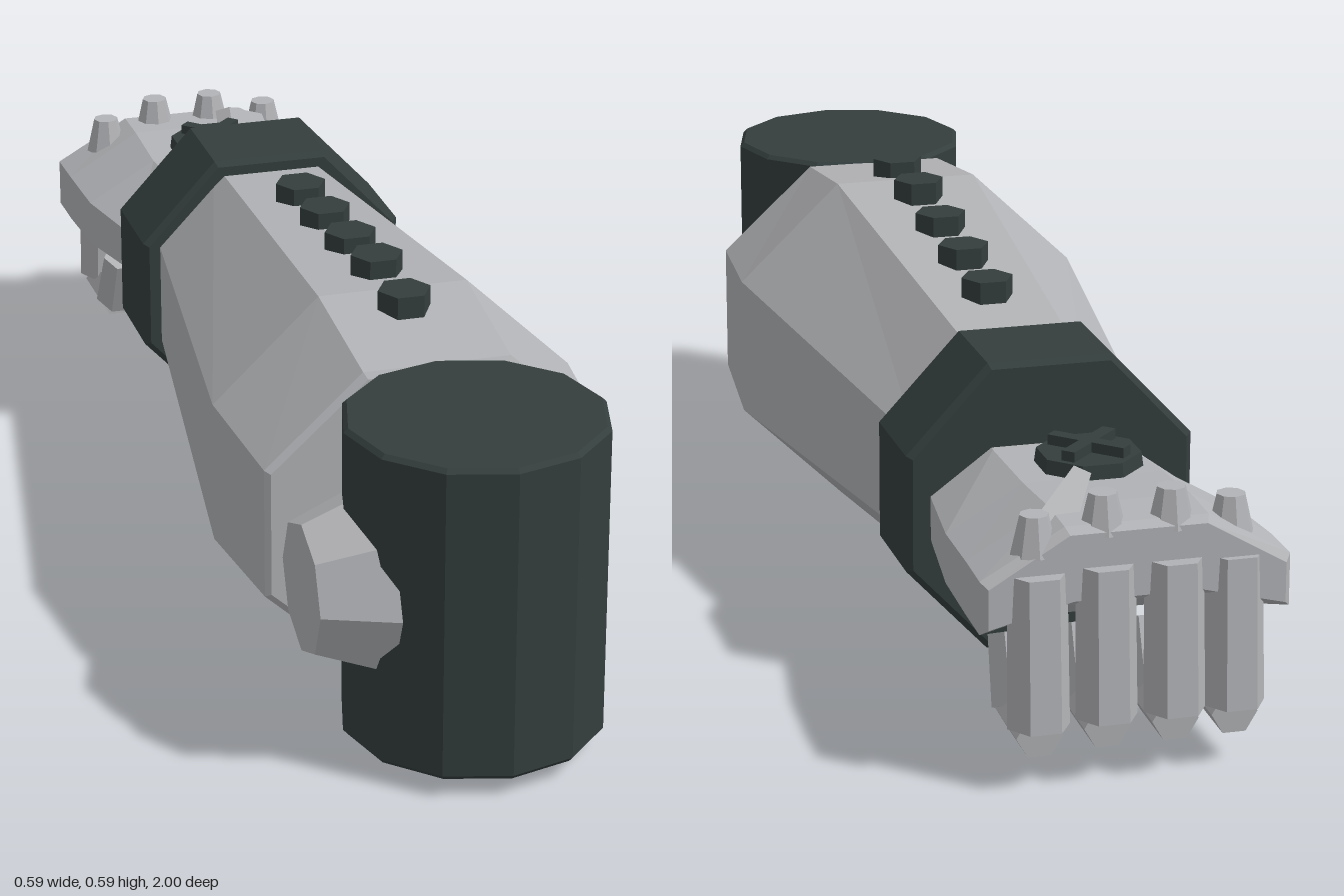
import * as THREE from 'three';

export function createModel() {
  const model = new THREE.Group();
  model.name = 'mechanicalForearm';
  const grey = new THREE.MeshStandardMaterial({ color: 0xb2b3b6, flatShading: true });
  grey.name = 'light grey metal';
  const dark = new THREE.MeshStandardMaterial({ color: 0x343e3d, flatShading: true });
  dark.name = 'dark green grey metal';

  function add(name, geo, mat, x = 0, y = 0, z = 0, parent = model) {
    const m = new THREE.Mesh(geo, mat);
    m.name = name;
    m.position.set(x, y, z);
    parent.add(m);
    return m;
  }

  // Eight-sided section: half width w, flat half width f, heights top / side top / side bottom / bottom
  function ring(z, w, f, top, st, sb, bot, dx = 0) {
    return [[w, sb], [w, st], [f, top], [-f, top], [-w, st], [-w, sb], [-f, bot], [f, bot]]
      .map(([x, y]) => new THREE.Vector3(x + dx, y, z));
  }

  // Skin rings that run from +z to -z and cap both ends
  function loft(rings) {
    const pos = [];
    const tri = (...v) => v.forEach(p => pos.push(p.x, p.y, p.z));
    const n = rings[0].length;
    const mid = r => r.reduce((s, p) => s.add(p), new THREE.Vector3()).divideScalar(n);
    const first = rings[0], last = rings[rings.length - 1];
    const c0 = mid(first), c1 = mid(last);
    for (let i = 0; i < n; i++) {
      const j = (i + 1) % n;
      for (let k = 0; k + 1 < rings.length; k++) {
        const a = rings[k], b = rings[k + 1];
        tri(a[i], b[i], a[j]);
        tri(a[j], b[i], b[j]);
      }
      tri(c0, first[i], first[j]);
      tri(c1, last[j], last[i]);
    }
    const g = new THREE.BufferGeometry();
    g.setAttribute('position', new THREE.Float32BufferAttribute(pos, 3));
    g.computeVertexNormals();
    return g;
  }

  // Six-sided bar between two points (in the yz plane), flats facing along z
  function bar(name, y0, z0, y1, z1, r0, r1, parent) {
    const a = new THREE.Vector3(0, y0, z0), b = new THREE.Vector3(0, y1, z1);
    const dir = b.clone().sub(a);
    const g = new THREE.CylinderGeometry(r1, r0, dir.length(), 6);
    g.rotateY(Math.PI / 6);
    const m = add(name, g, grey, 0, (y0 + y1) / 2, (z0 + z1) / 2, parent);
    m.rotation.x = Math.atan2(dir.z, dir.y);
    return m;
  }

  // Forearm shell
  add('forearm', loft([
    ring(0.612, 0.266, 0.112, 0.53, 0.39, 0.185, 0.045),
    ring(0.605, 0.275, 0.118, 0.54, 0.395, 0.18, 0.035),
    ring(0.37, 0.295, 0.122, 0.57, 0.405, 0.17, 0.002),
    ring(-0.45, 0.19, 0.08, 0.487, 0.372, 0.204, 0.085),
  ]), grey);

  // Wrist cuff with bevelled edges
  const cuffRing = (z, d) => ring(z, 0.23 - d, 0.1 - d / 2, 0.522 - d, 0.382 - d / 2, 0.192 + d / 2, 0.052 + d);
  add('wristCuff', loft([
    cuffRing(-0.358, 0.009), cuffRing(-0.367, 0), cuffRing(-0.538, 0), cuffRing(-0.547, 0.009),
  ]), dark);

  // Elbow drum
  const drum = [[0, 0.03], [0.198, 0.03], [0.205, 0.038], [0.205, 0.535], [0.198, 0.542], [0, 0.542]]
    .map(p => new THREE.Vector2(...p));
  add('elbowDrum', new THREE.LatheGeometry(drum, 12), dark, 0, 0, 0.797);

  // Elbow side cap, tapering outwards
  const cap = new THREE.CylinderGeometry(0.105, 0.15, 0.113, 8);
  cap.rotateZ(Math.PI / 2);
  add('elbowCap', cap, grey, -0.2115, 0.285, 0.79);

  // Row of bolts along the top
  [[0.43, 0.594], [0.28, 0.595], [0.13, 0.576], [-0.02, 0.562], [-0.17, 0.548]].forEach(([z, top]) => {
    const g = new THREE.CylinderGeometry(0.043, 0.043, 0.04, 6);
    g.rotateY(Math.PI / 6);
    add('forearmBolt', g, dark, 0, top - 0.02, z);
  });

  // Back of the hand and palm
  add('hand', loft([
    ring(-0.5, 0.185, 0.09, 0.385, 0.315, 0.25, 0.205, 0),
    ring(-0.56, 0.198, 0.1, 0.388, 0.316, 0.246, 0.2, -0.003),
    ring(-0.73, 0.23, 0.11, 0.392, 0.322, 0.243, 0.19, -0.013),
    ring(-0.86, 0.236, 0.11, 0.4, 0.326, 0.242, 0.23, -0.015),
    ring(-0.945, 0.238, 0.11, 0.398, 0.325, 0.242, 0.275, -0.015),
    ring(-0.958, 0.228, 0.105, 0.388, 0.315, 0.252, 0.285, -0.015),
  ]), grey);

  // Round plate with a cross on the back of the hand
  const plate = new THREE.Group();
  plate.name = 'handPlate';
  plate.position.set(-0.01, 0.42, -0.715);
  model.add(plate);
  const disc = new THREE.CylinderGeometry(0.08, 0.083, 0.022, 8);
  disc.rotateY(Math.PI / 8);
  add('plateDisc', disc, dark, 0, 0, 0, plate);
  for (const s of [-1, 1]) {
    const m = add('plateCrossBar', new THREE.BoxGeometry(0.13, 0.02, 0.022), dark, 0, 0.017, 0, plate);
    m.rotation.y = s * Math.PI / 4;
  }

  // Wedge on the back of the hand
  const wedge = add('handWedge', new THREE.CylinderGeometry(0.02, 0.045, 0.13, 4), grey, 0.07, 0.395, -0.86);
  wedge.rotation.set(0.35, 0.6, 0.75);

  // Curled fingers with a knuckle stud above each
  [-0.17, -0.073, 0.032, 0.136].forEach((x, i) => {
    const finger = new THREE.Group();
    finger.name = 'finger';
    const outer = i === 0 || i === 3;
    finger.position.set(x, outer ? 0 : 0.005, i === 0 ? 0.014 : 0);
    model.add(finger);
    bar('fingerBase', 0.33, -0.945, 0.095, -0.958, 0.046, 0.048, finger);
    bar('fingerMiddle', 0.08, -0.965, 0.083, -0.85, 0.036, 0.036, finger);
    bar('fingerTip', 0.085, -0.85, 0.185, -0.805, 0.042, 0.036, finger);
    add('knuckleStud', new THREE.CylinderGeometry(0.022, 0.036, 0.06, 8), grey,
      0, outer ? 0.385 : 0.405, -0.925, finger);
  });

  return model;
}
